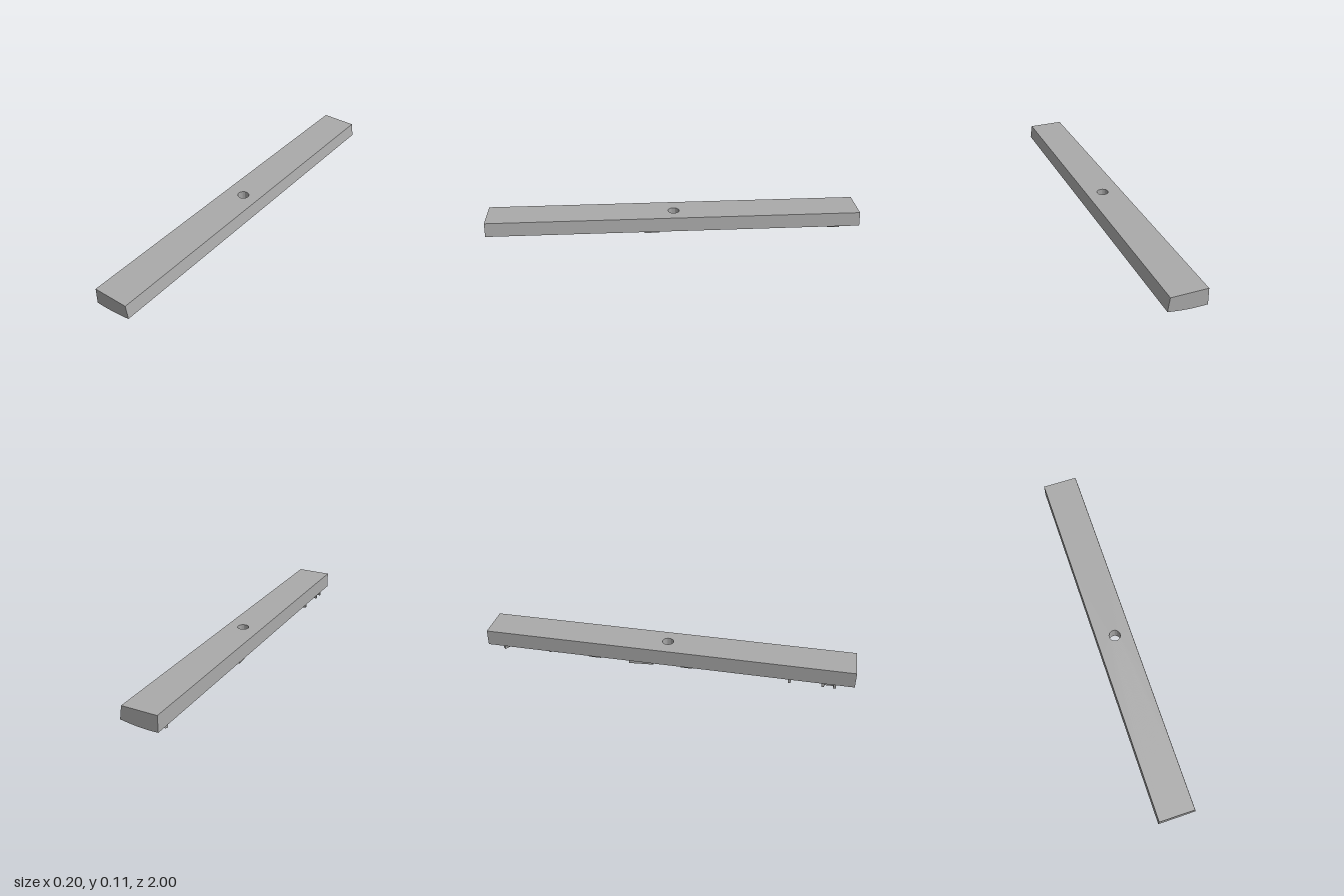
import * as THREE from 'three';
import { toCreasedNormals } from 'three/addons/utils/BufferGeometryUtils.js';

const TOP = 0.115, HOLE = 0.03, HALF = 0.1;

// Height of the gently bowed underside
const underside = (x) => 0.0275 + 0.57 * (x + 0.06) ** 2;

// Long bar with one slanted side and a round hole, lofted around the hole
function barGeometry() {
  const cols = 64, rings = 10, pos = [], index = [];
  const rows = rings + 3;
  for (let r = 0; r < rows; r++) {
    for (let j = 0; j < cols; j++) {
      const a = (j / cols) * Math.PI * 2, u = Math.cos(a), v = Math.sin(a);
      const m = Math.max(Math.abs(u), Math.abs(v));
      const ox = (HALF * u) / m, oz = v / m;
      if (r === 0) pos.push(HOLE * u, TOP, HOLE * v);
      else if (r === 1) pos.push(ox > 0 ? ox * 0.89 : ox, TOP, oz);
      else {
        const t = (r - 2) / rings;
        const x = THREE.MathUtils.lerp(ox, HOLE * u, t);
        pos.push(x, underside(x), THREE.MathUtils.lerp(oz, HOLE * v, t));
      }
    }
  }
  for (let r = 0; r < rows; r++) {
    for (let j = 0; j < cols; j++) {
      const k = (j + 1) % cols, n = (r + 1) % rows;
      const a = r * cols + j, b = r * cols + k, c = n * cols + j, d = n * cols + k;
      index.push(a, b, c, b, d, c);
    }
  }
  const g = new THREE.BufferGeometry();
  g.setAttribute('position', new THREE.Float32BufferAttribute(pos, 3));
  g.setIndex(index);
  return toCreasedNormals(g, 0.4);
}

// Raised ridge from one plan point to another, following the underside
function ridgeGeometry(x1, z1, x2, z2, width) {
  const dx = x2 - x1, dz = z2 - z1;
  const g = new THREE.BoxGeometry(Math.hypot(dx, dz) + width, 1, width, 4, 1, 1);
  g.rotateY(-Math.atan2(dz, dx));
  g.translate((x1 + x2) / 2, 0, (z1 + z2) / 2);
  const p = g.attributes.position;
  for (let i = 0; i < p.count; i++) {
    const y = underside(p.getX(i));
    p.setY(i, p.getY(i) < 0 ? y - 0.0268 : y + 0.004);
  }
  return toCreasedNormals(g, 0.4);
}

// Each relief is a set of paths: x, z, x, z ...
const reliefs = [
  [[-0.045, 0.9, -0.085, 0.9], [-0.065, 0.9, -0.065, 0.84], [-0.045, 0.84, -0.085, 0.84]],
  [[-0.035, 0.708, -0.035, 0.667, -0.085, 0.667], [-0.052, 0.708, -0.052, 0.667]],
  [[-0.007, 0.44, -0.007, 0.307, -0.035, 0.307], [-0.007, 0.37, -0.055, 0.37, -0.055, 0.33, -0.007, 0.33]],
  [[0.04, 0.153, 0.04, 0.087, 0.015, 0.087], [0.04, 0.14, 0, 0.14, 0, 0.11, 0.04, 0.11],
    [-0.01, 0.09, -0.06, 0.09, -0.06, 0.14, -0.035, 0.14, -0.035, 0.09]],
  [[-0.012, -0.06, -0.065, -0.075, -0.075, -0.192, -0.045, -0.192]],
  [[-0.005, -0.37, -0.06, -0.37, -0.06, -0.425, -0.005, -0.44], [-0.02, -0.355, -0.02, -0.39],
    [-0.025, -0.425, -0.025, -0.445]],
  [[-0.007, -0.56, -0.007, -0.655, -0.06, -0.655], [-0.007, -0.6, -0.055, -0.6, -0.055, -0.64]],
  [[0.038, -0.85, 0.038, -0.9, 0.005, -0.91], [0.015, -0.85, -0.045, -0.85, -0.045, -0.89, -0.01, -0.89],
    [-0.045, -0.89, -0.08, -0.91]],
];

export function createModel() {
  const model = new THREE.Group();
  model.name = 'reliefBar';
  const grey = new THREE.MeshStandardMaterial({ color: 0xaaaaaa });
  grey.name = 'grey';

  const bar = new THREE.Mesh(barGeometry(), grey);
  bar.name = 'bar';
  model.add(bar);

  // Raised reliefs along the underside
  reliefs.forEach((paths, n) => {
    const relief = new THREE.Group();
    relief.name = `relief${n + 1}`;
    for (const path of paths) {
      for (let i = 0; i + 3 < path.length; i += 2) {
        const ridge = new THREE.Mesh(ridgeGeometry(...path.slice(i, i + 4), 0.014), grey);
        ridge.name = 'ridge';
        relief.add(ridge);
      }
    }
    model.add(relief);
  });
  return model;
}
